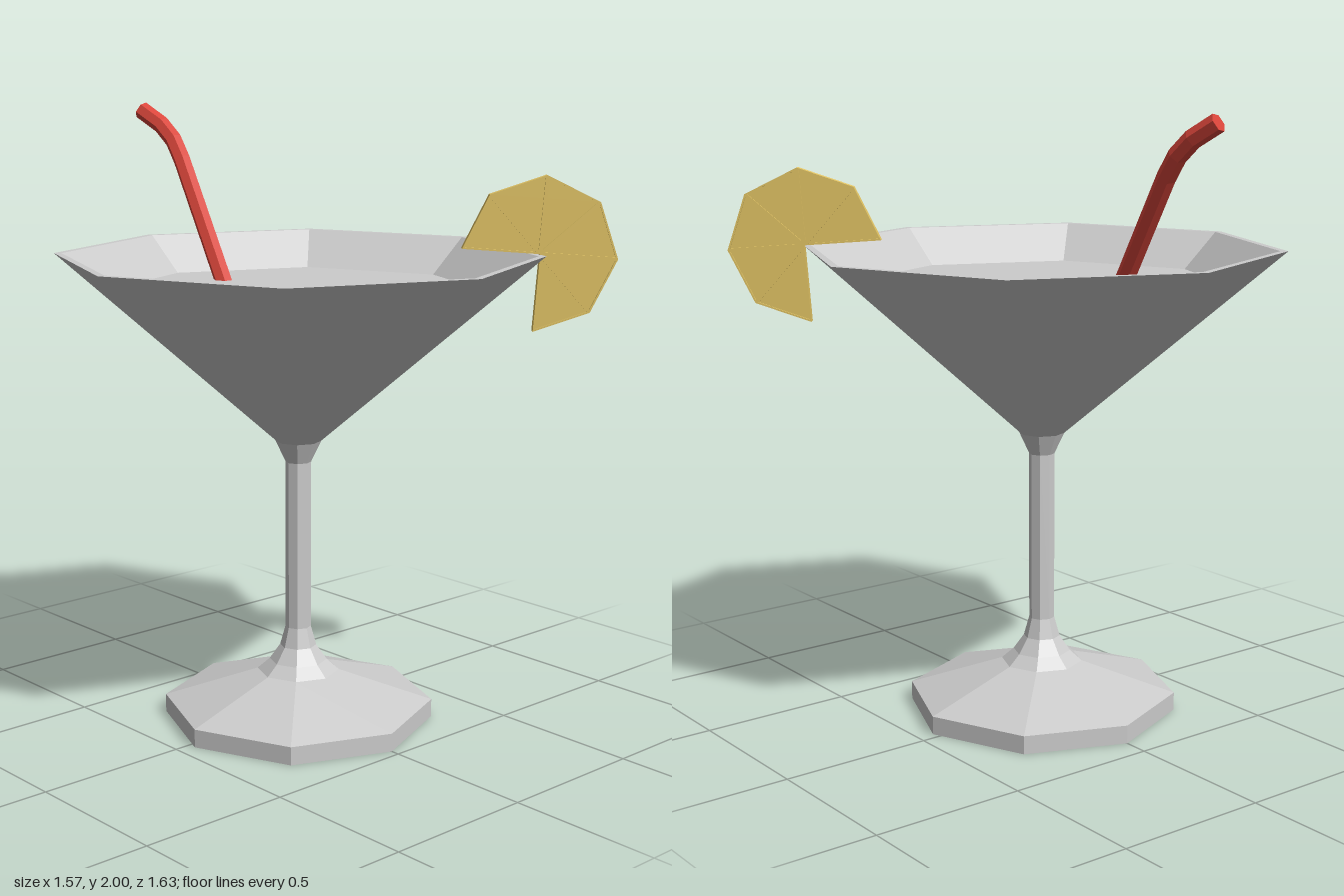
import * as THREE from 'three';

const material = (color) => new THREE.MeshStandardMaterial({ color, flatShading: true });

function mesh(name, geometry, mat) {
  const m = new THREE.Mesh(geometry, mat);
  m.name = name;
  return m;
}

// Straight-sided path: samples fall exactly on the given points
class BentPath extends THREE.Curve {
  constructor(points) {
    super();
    this.points = points;
  }
  getPoint(t, target = new THREE.Vector3()) {
    const f = t * (this.points.length - 1);
    const i = Math.min(Math.floor(f), this.points.length - 2);
    return target.lerpVectors(this.points[i], this.points[i + 1], f - i);
  }
  getPointAt(u, target) { return this.getPoint(u, target); }
  getTangentAt(u, target) { return this.getTangent(u, target); }
}

// Octagonal foot, stem and bowl as one closed profile
function buildGlass(mat) {
  const profile = [
    [0, 0], [0.445, 0], [0.445, 0.06], [0.135, 0.16], [0.095, 0.195], [0.06, 0.245],
    [0.042, 0.31], [0.042, 0.87], [0.075, 0.94], [0.785, 1.545], [0.76, 1.545], [0.04, 0.94], [0, 0.94],
  ].map(([x, y]) => new THREE.Vector2(x, y));
  return mesh('glass', new THREE.LatheGeometry(profile, 8), mat);
}

// Six-sided straw with a bent, capped tip
function buildStraw(mat) {
  const straw = new THREE.Group();
  straw.name = 'straw';
  const points = [
    [0, 1.40, -0.335], [0.042, 1.81, -0.615], [0.047, 1.875, -0.667], [0.037, 1.925, -0.72], [0.01, 1.974, -0.797],
  ].map((p) => new THREE.Vector3(...p));
  const path = new BentPath(points);
  const sides = 6, rings = points.length - 1;
  const tube = new THREE.TubeGeometry(path, rings, 0.03, sides, false);
  straw.add(mesh('strawTube', tube, mat));

  // End caps fan out from the path ends to the tube's own rings
  const position = tube.attributes.position;
  const corner = (ring, i) => new THREE.Vector3().fromBufferAttribute(position, ring * (sides + 1) + i);
  for (const ring of [0, rings]) {
    const along = path.getTangentAt(ring / rings).multiplyScalar(ring ? 1 : -1);
    const corners = [];
    for (let i = 0; i < sides; i++) {
      const a = corner(ring, i), b = corner(ring, i + 1), c = points[ring];
      const normal = a.clone().sub(c).cross(b.clone().sub(c));
      corners.push(c, ...(normal.dot(along) > 0 ? [a, b] : [b, a]));
    }
    const cap = new THREE.BufferGeometry().setFromPoints(corners);
    cap.computeVertexNormals();
    straw.add(mesh('strawEnd', cap, mat));
  }
  return straw;
}

// Citrus wheel with a quarter cut away, raised rind and membranes
function buildSlice(mat) {
  const slice = new THREE.Group();
  slice.name = 'citrusSlice';
  const rim = [];
  for (let i = 0; i <= 6; i++) {
    const a = -Math.PI / 2 + i * Math.PI / 4;
    rim.push(new THREE.Vector2(Math.cos(a), Math.sin(a)).multiplyScalar(0.25));
  }
  const outline = [new THREE.Vector2(0, 0), ...rim];
  const slab = (shape, depth) =>
    new THREE.ExtrudeGeometry(shape, { depth, bevelEnabled: false }).translate(0, 0, -depth / 2);

  const frame = new THREE.Shape(outline);
  for (let i = 0; i < 6; i++) {
    // Each opening is its wedge shrunk about the wedge's incentre
    const middle = rim[i].clone().add(rim[i + 1]).multiplyScalar(0.362);
    const wedge = [new THREE.Vector2(0, 0), rim[i + 1], rim[i]];
    frame.holes.push(new THREE.Path(wedge.map((p) => p.clone().lerp(middle, 0.09))));
  }
  slice.add(mesh('rindAndMembranes', slab(frame, 0.028), mat));
  slice.add(mesh('pulp', slab(new THREE.Shape(outline), 0.018), mat));

  slice.position.set(0.572, 1.548, 0.538);
  slice.rotation.set(0, -0.706, -0.07);
  return slice;
}

export function createModel() {
  const model = new THREE.Group();
  model.name = 'cocktail';
  const grey = material(0xcccccc);

  const vessel = new THREE.Group();
  vessel.name = 'filledGlass';
  vessel.position.z = 0.027;
  vessel.add(buildGlass(grey));

  // Drink surface
  const drink = mesh('drinkSurface', new THREE.CircleGeometry(0.62, 8).rotateX(-Math.PI / 2), grey);
  drink.position.y = 1.427;
  vessel.add(drink);

  model.add(vessel, buildStraw(material(0xd9453a)), buildSlice(material(0xe3c565)));
  return model;
}
